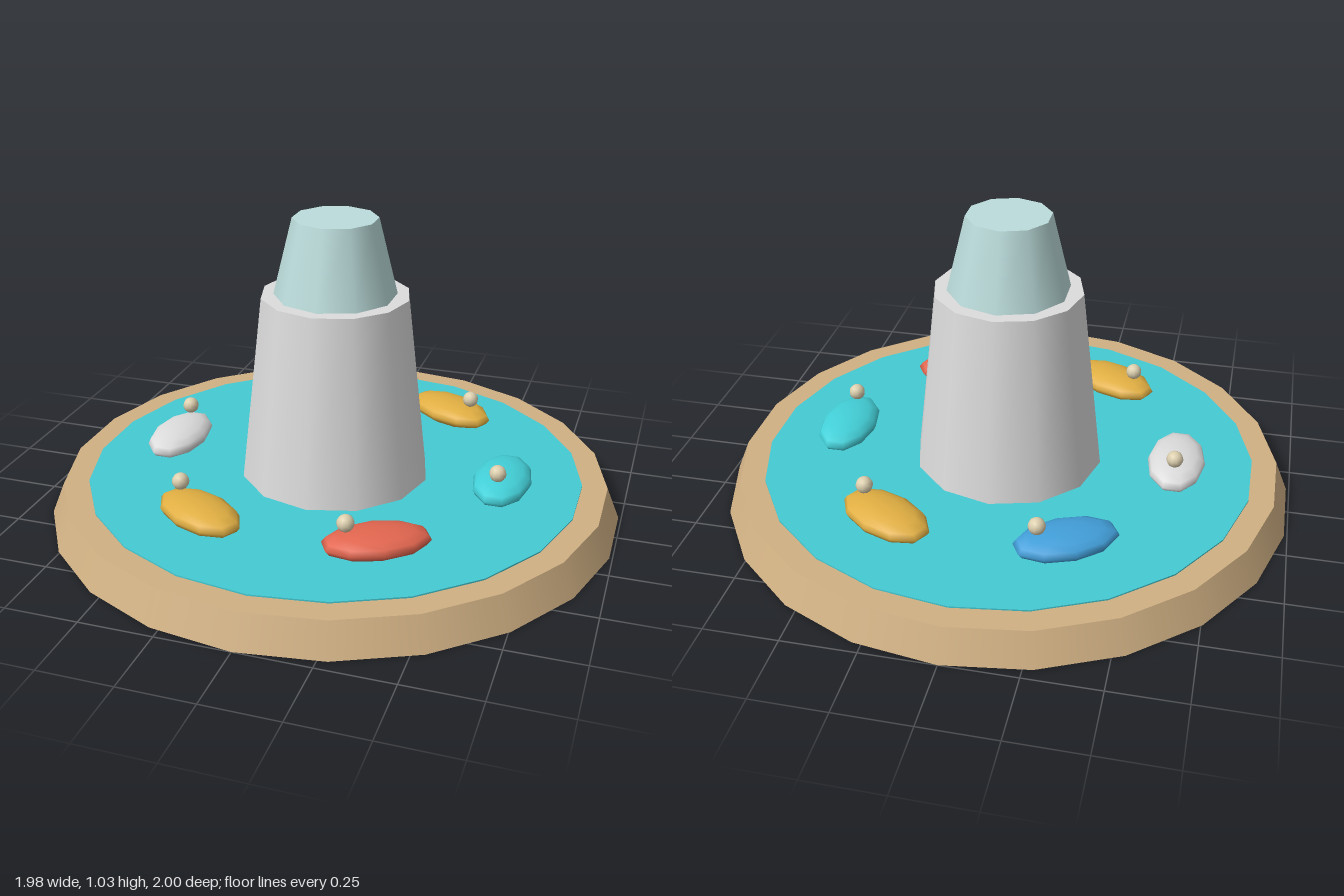
import * as THREE from 'three';

const paint = (name, color) => {
  const m = new THREE.MeshStandardMaterial({ color });
  m.name = name;
  return m;
};

export function createModel() {
  const tan = paint('sand', 0xd0b083);
  const water = paint('water', 0x45cad3);
  const grey = paint('lightGrey', 0xdcdcdc);
  const pale = paint('paleAqua', 0xbbdcdb);
  const turquoise = paint('turquoise', 0x43d0d8);
  const red = paint('coral', 0xe2664f);
  const yellow = paint('gold', 0xe0ae42);
  const blue = paint('blue', 0x429fda);
  const cream = paint('cream', 0xdccfae);

  const model = new THREE.Group();
  model.name = 'boatCarousel';

  const add = (parent, name, geometry, material, x, y, z) => {
    const mesh = new THREE.Mesh(geometry, material);
    mesh.name = name;
    mesh.position.set(x, y, z);
    parent.add(mesh);
    return mesh;
  };

  // Tapered drum standing on the height y0
  const drum = (name, rTop, rBottom, y0, y1, sides, material) =>
    add(model, name, new THREE.CylinderGeometry(rTop, rBottom, y1 - y0, sides), material, 0, (y0 + y1) / 2, 0);

  // Basin, water and central tower
  drum('basin', 0.955, 1, 0, 0.11, 22, tan);
  drum('waterSurface', 0.868, 0.868, 0.107, 0.115, 22, water);
  drum('tower', 0.256, 0.332, 0.11, 0.77, 12, grey);
  drum('towerCap', 0.145, 0.21, 0.77, 1.035, 10, pale);

  // Ring of boats, each pointing along the ring with one rider at its bow
  const hull = new THREE.SphereGeometry(1, 10, 8).scale(0.1, 0.045, 0.18);
  const head = new THREE.SphereGeometry(0.029, 10, 8);
  [turquoise, red, yellow, grey, blue, yellow].forEach((material, i) => {
    const a = (i * Math.PI) / 3;
    const boat = new THREE.Group();
    boat.name = 'boat' + (i + 1);
    boat.position.set(0.6 * Math.cos(a), 0, 0.6 * Math.sin(a));
    boat.rotation.y = -a;
    add(boat, 'hull', hull, material, 0, 0.156, 0);
    add(boat, 'rider', head, cream, 0, 0.231, 0.1);
    model.add(boat);
  });

  return model;
}
